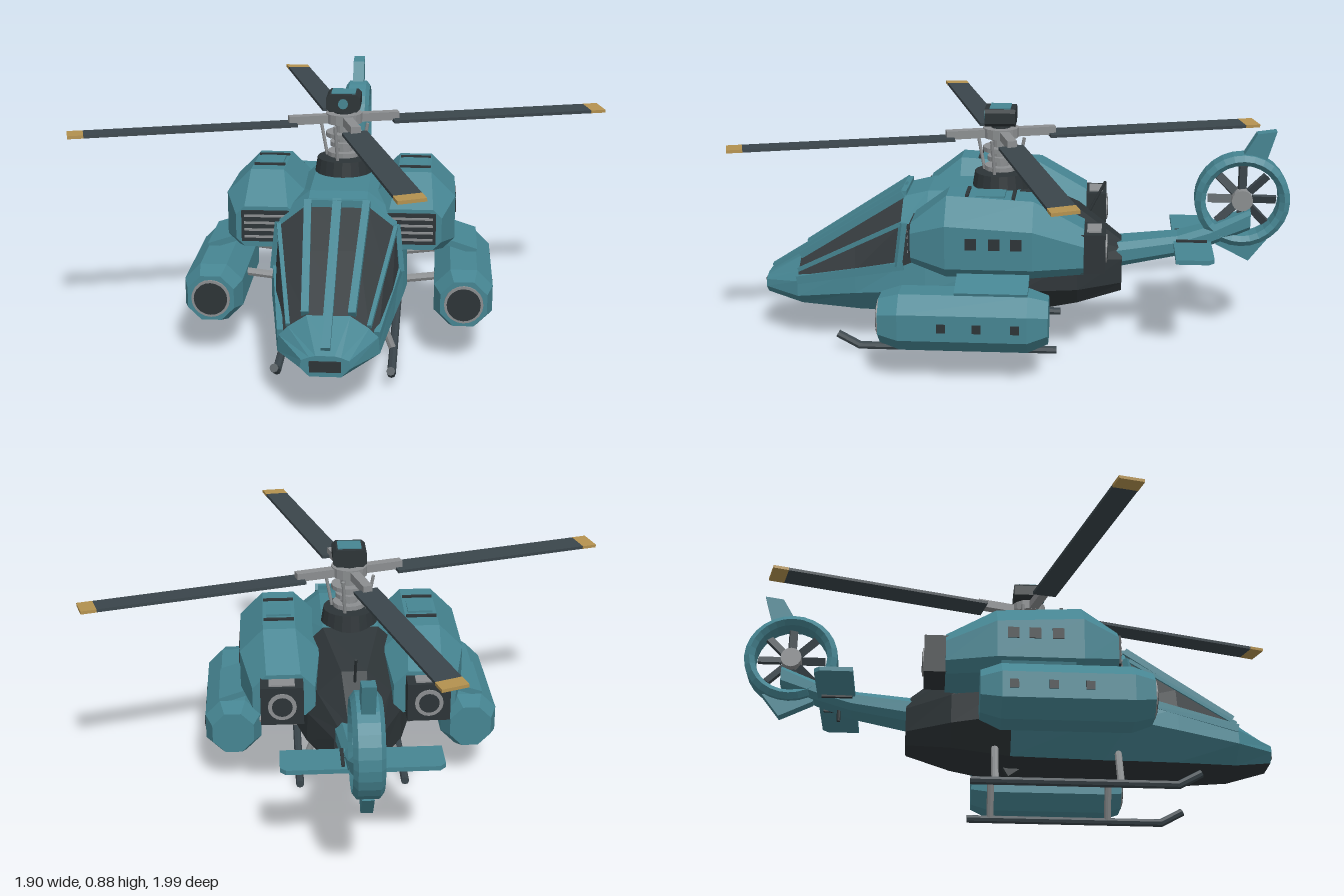
import * as THREE from 'three';

const mat = (name, color) => {
  const m = new THREE.MeshStandardMaterial({ color, flatShading: true });
  m.name = name;
  return m;
};

export function createModel() {
  const teal = mat('teal paint', 0x468592), dark = mat('dark panel', 0x2d3437), glass = mat('canopy glass', 0x353b3e);
  const slate = mat('blade slate', 0x3a454b), grey = mat('metal grey', 0x8b8e90), gold = mat('blade tip gold', 0xb3914f);
  const root = new THREE.Group();
  root.name = 'helicopter';

  const add = (name, geo, m, parent = root) => {
    const mesh = new THREE.Mesh(geo, m);
    mesh.name = name;
    parent.add(mesh);
    return mesh;
  };
  const box = (name, m, w, h, d, x, y, z, parent) => {
    const b = add(name, new THREE.BoxGeometry(w, h, d), m, parent);
    b.position.set(x, y, z);
    return b;
  };
  const cyl = (name, m, r0, r1, h, x, y, z, sides = 16, parent) => {
    const c = add(name, new THREE.CylinderGeometry(r1, r0, h, sides), m, parent);
    c.position.set(x, y, z);
    return c;
  };
  // round rod between two points
  const rod = (name, m, p, q, r, sides = 8) => {
    const a = new THREE.Vector3(...p), b = new THREE.Vector3(...q), d = b.clone().sub(a);
    const c = cyl(name, m, r, r, d.length(), ...a.clone().add(b).multiplyScalar(0.5).toArray(), sides);
    c.quaternion.setFromUnitVectors(new THREE.Vector3(0, 1, 0), d.normalize());
    return c;
  };
  // flat bar between two points
  const bar = (name, m, p, q, w, h) => {
    const a = new THREE.Vector3(...p), b = new THREE.Vector3(...q);
    const c = box(name, m, w, h, a.distanceTo(b), ...a.clone().add(b).multiplyScalar(0.5).toArray());
    c.lookAt(b);
    return c;
  };
  // skin over cross-sections listed front to back; pick(i, j) gives the material slot of a face
  const loft = (name, sections, mats, pick = () => 0) => {
    const faces = mats.map(() => []);
    const put = (slot, ...pts) => pts.forEach(p => faces[slot].push(...p));
    const rings = sections.map(([z, pts]) => pts.map(([x, y]) => [x, y, z]));
    const n = rings[0].length, last = rings.length - 1;
    for (let j = 0; j < n; j++) {
      const k = (j + 1) % n;
      for (let i = 0; i < last; i++) {
        const a = rings[i][j], b = rings[i][k], c = rings[i + 1][j], d = rings[i + 1][k];
        put(pick(i, j), a, c, d, a, d, b);
      }
      const mid = r => [0, 1, 2].map(t => r.reduce((s, p) => s + p[t], 0) / n);
      put(pick(0, 0), mid(rings[0]), rings[0][j], rings[0][k]);
      put(pick(last - 1, 0), mid(rings[last]), rings[last][k], rings[last][j]);
    }
    const geo = new THREE.BufferGeometry();
    geo.setAttribute('position', new THREE.Float32BufferAttribute(faces.flat(), 3));
    let start = 0;
    faces.forEach((f, i) => { geo.addGroup(start, f.length / 3, i); start += f.length / 3; });
    geo.computeVertexNormals();
    return add(name, geo, mats);
  };
  // eight-sided section with lower and upper chamfers
  const oct = (cx, hw, y0, y1, cb, ct = cb) => {
    const r = [[hw - cb, y0], [hw, y0 + cb], [hw, y1 - ct], [hw - ct, y1]];
    return [...r, ...r.slice().reverse().map(([x, y]) => [-x, y])].map(([x, y]) => [x + cx, y]);
  };
  // plate drawn in the (z, y) plane
  const sidePlate = (name, m, pts, t) => {
    const shape = new THREE.Shape(pts.map(([z, y]) => new THREE.Vector2(-z, y)));
    const geo = new THREE.ExtrudeGeometry(shape, { depth: t, bevelEnabled: false });
    geo.translate(0, 0, -t / 2).rotateY(Math.PI / 2);
    return add(name, geo, m);
  };

  // fuselage: belly, widest line, sill, shoulder, roof edge at each station
  const body = [
    [0.915, [[0.05, 0.165], [0.08, 0.195], [0.075, 0.22], [0.05, 0.23], [0.03, 0.235]]],
    [0.78, [[0.09, 0.137], [0.165, 0.19], [0.16, 0.245], [0.13, 0.275], [0.07, 0.315]]],
    [0.56, [[0.12, 0.13], [0.2, 0.22], [0.195, 0.305], [0.17, 0.39], [0.085, 0.455]]],
    [0.39, [[0.13, 0.128], [0.228, 0.24], [0.215, 0.33], [0.2, 0.48], [0.1, 0.56]]],
    [0.3, [[0.13, 0.128], [0.238, 0.245], [0.222, 0.37], [0.205, 0.5], [0.1, 0.582]]],
    [-0.03, [[0.13, 0.135], [0.23, 0.25], [0.22, 0.37], [0.19, 0.5], [0.1, 0.585]]],
    [-0.24, [[0.11, 0.17], [0.17, 0.24], [0.165, 0.35], [0.13, 0.43], [0.045, 0.51]]],
    [-0.4, [[0.05, 0.2], [0.08, 0.24], [0.08, 0.33], [0.06, 0.365], [0.03, 0.385]]],
  ].map(([z, h]) => [z, [...h, ...h.slice().reverse().map(([x, y]) => [-x, y])]]);
  loft('fuselage', body, [teal, dark, glass], (i, j) => {
    const k = j < 5 ? j : 8 - j;
    if (k < 0 || i >= 5) return 1;
    if (k >= 2 && (i === 1 || i === 2)) return 2;
    return i === 3 && k === 2 ? 1 : 0;
  });
  box('noseSensor', dark, 0.1, 0.035, 0.02, 0, 0.2, 0.912);
  bar('canopyCentreFrame', teal, [0, 0.25, 0.9], [0, 0.575, 0.385], 0.03, 0.02);
  bar('canopyRoofFrame', teal, [-0.1, 0.566, 0.39], [0.1, 0.566, 0.39], 0.02, 0.025);
  sidePlate('bellyFin', dark, [[0.02, 0.14], [-0.03, 0.105], [-0.05, 0.14]], 0.03);
  rod('spineAntenna', dark, [0, 0.49, -0.28], [0, 0.6, -0.335], 0.005);

  for (const s of [1, -1]) {
    // canopy frames
    bar('canopySideFrame', teal, [s * 0.075, 0.32, 0.78], [s * 0.1, 0.57, 0.39], 0.025, 0.025);
    bar('canopySill', teal, [s * 0.155, 0.25, 0.78], [s * 0.214, 0.335, 0.38], 0.02, 0.03);
    bar('canopyShoulderFrame', teal, [s * 0.13, 0.28, 0.78], [s * 0.2, 0.485, 0.39], 0.014, 0.014);
    bar('canopyPillar', teal, [s * 0.216, 0.33, 0.4], [s * 0.2, 0.49, 0.38], 0.02, 0.022);

    // engine nacelle
    loft('engineNacelle', [
      [0.335, oct(s * 0.25, 0.105, 0.385, 0.53, 0.03)],
      [0.21, oct(s * 0.258, 0.143, 0.35, 0.628, 0.04, 0.085)],
      [-0.09, oct(s * 0.258, 0.143, 0.35, 0.612, 0.04, 0.085)],
      [-0.265, oct(s * 0.248, 0.11, 0.355, 0.515, 0.035, 0.05)],
    ], [teal]);
    box('intakeGrille', dark, 0.17, 0.11, 0.02, s * 0.25, 0.462, 0.335);
    for (let i = 0; i < 4; i++) box('intakeSlat', grey, 0.15, 0.008, 0.014, s * 0.25, 0.425 + i * 0.025, 0.342);
    for (const z of [0.12, 0.04, -0.035]) box('nacelleWindow', dark, 0.008, 0.04, 0.04, s * 0.401, 0.482, z);
    for (const z of [0.14, -0.02]) box('nacelleVent', dark, 0.11, 0.014, 0.012, s * 0.258, z > 0 ? 0.624 : 0.616, z);
    box('nacelleHatch', teal, 0.09, 0.012, 0.1, s * 0.258, 0.619, 0.06);

    // exhaust
    box('exhaustHousing', dark, 0.15, 0.14, 0.085, s * 0.255, 0.43, -0.297);
    box('exhaustCover', grey, 0.09, 0.006, 0.05, s * 0.255, 0.502, -0.3);
    cyl('exhaustRing', grey, 0.05, 0.05, 0.008, s * 0.255, 0.43, -0.341).rotation.x = Math.PI / 2;
    cyl('exhaustOpening', dark, 0.036, 0.036, 0.006, s * 0.255, 0.43, -0.344).rotation.x = Math.PI / 2;

    // side pod with stub wing
    loft('sidePod', [
      [0.43, oct(s * 0.435, 0.08, 0.145, 0.305, 0.045)],
      [0.36, oct(s * 0.434, 0.101, 0.122, 0.325, 0.055)],
      [-0.08, oct(s * 0.434, 0.101, 0.122, 0.325, 0.055)],
      [-0.15, oct(s * 0.434, 0.075, 0.15, 0.305, 0.045)],
    ], [teal]);
    cyl('podRing', grey, 0.067, 0.067, 0.014, s * 0.435, 0.225, 0.43, 20).rotation.x = Math.PI / 2;
    cyl('podIntake', dark, 0.058, 0.058, 0.016, s * 0.435, 0.225, 0.432, 20).rotation.x = Math.PI / 2;
    for (const z of [0.21, 0.09, -0.04]) box('podWindow', dark, 0.008, 0.03, 0.03, s * 0.535, 0.225, z);
    const wing = box('stubWing', teal, 0.18, 0.022, 0.25, s * 0.395, 0.352, 0.045);
    wing.rotation.z = -s * 0.32;
    for (const z of [0.22, -0.08]) rod('podStrut', grey, [s * 0.18, 0.23, z], [s * 0.345, 0.25, z], 0.015);

    // landing skid
    for (const z of [0.35, -0.085]) rod('skidLeg', grey, [s * 0.14, 0.16, z], [s * 0.192, 0.02, z], 0.013);
    rod('skidRail', slate, [s * 0.195, 0.016, -0.17], [s * 0.195, 0.016, 0.555], 0.015);
    rod('skidToe', slate, [s * 0.195, 0.016, 0.55], [s * 0.195, 0.06, 0.63], 0.015);

    // tailplane half
    const plane = new THREE.Shape([[0.03, 0.585], [0.27, 0.585], [0.27, 0.7], [0.25, 0.72], [0.03, 0.72]]
      .map(([x, y]) => new THREE.Vector2(s * x, y)));
    const geo = new THREE.ExtrudeGeometry(plane, { depth: 0.016, bevelEnabled: false });
    geo.rotateX(-Math.PI / 2).translate(0, 0.38, 0);
    add('tailplane', geo, teal);
    box('tailplaneBracket', dark, 0.012, 0.03, 0.11, s * 0.065, 0.388, -0.65);
  }

  // tail boom and fins
  loft('tailBoom', [
    [-0.36, oct(0, 0.077, 0.288, 0.382, 0.025)],
    [-0.6, oct(0, 0.06, 0.335, 0.41, 0.02)],
    [-0.72, oct(0, 0.052, 0.375, 0.448, 0.02)],
    [-0.86, oct(0, 0.04, 0.435, 0.51, 0.015)],
  ], [teal]);
  rod('boomAntenna', dark, [0, 0.36, -0.645], [0, 0.308, -0.645], 0.007);
  sidePlate('upperFin', teal, [[-0.82, 0.7], [-0.872, 0.79], [-0.94, 0.8], [-0.905, 0.68]], 0.045);
  sidePlate('lowerFin', teal, [[-0.73, 0.41], [-0.74, 0.375], [-0.86, 0.315], [-0.925, 0.4], [-0.86, 0.4]], 0.04);

  // ducted tail fan
  const fan = new THREE.Group();
  fan.name = 'tailFan';
  fan.position.set(0, 0.545, -0.828);
  root.add(fan);
  const duct = [[0.132, -0.035], [0.15, -0.05], [0.17, -0.035], [0.17, 0.035], [0.15, 0.05], [0.132, 0.035], [0.132, -0.035]];
  add('fanDuct', new THREE.LatheGeometry(duct.map(p => new THREE.Vector2(...p)), 28), teal, fan).rotation.z = Math.PI / 2;
  cyl('fanHub', grey, 0.038, 0.038, 0.07, 0, 0, 0, 16, fan).rotation.z = Math.PI / 2;
  for (let i = 0; i < 8; i++) {
    const arm = new THREE.Group();
    arm.name = 'fanBlade';
    arm.rotation.x = i * Math.PI / 4;
    fan.add(arm);
    box('fanBladePlate', slate, 0.012, 0.085, 0.03, 0, 0.08, 0, arm).rotation.y = 0.4;
  }

  // rotor mast
  const mz = 0.045;
  cyl('mastPedestal', dark, 0.105, 0.095, 0.06, 0, 0.605, mz, 20);
  cyl('mast', grey, 0.032, 0.032, 0.2, 0, 0.71, mz);
  [[0.65, 0.06], [0.685, 0.05], [0.72, 0.065]].forEach(([y, r]) => cyl('swashPlate', grey, r, r, 0.016, 0, y, mz));
  for (let i = 0; i < 4; i++) {
    const a = i * Math.PI / 2 + 0.3, c = Math.cos(a), n = Math.sin(a);
    rod('pitchLink', grey, [c * 0.065, 0.635, mz + n * 0.065], [c * 0.09, 0.765, mz + n * 0.09], 0.006);
  }
  cyl('rotorHub', grey, 0.065, 0.065, 0.035, 0, 0.78, mz);
  cyl('sensorNeck', dark, 0.035, 0.035, 0.03, 0, 0.805, mz);
  loft('sensorHead', [[mz + 0.055, oct(0, 0.06, 0.81, 0.872, 0.012)], [mz - 0.055, oct(0, 0.06, 0.81, 0.872, 0.012)]], [dark]);
  box('sensorCap', teal, 0.085, 0.008, 0.075, 0, 0.872, mz);
  cyl('sensorEye', teal, 0.018, 0.018, 0.008, 0, 0.84, mz + 0.056, 12).rotation.x = Math.PI / 2;

  // main rotor blades
  for (let i = 0; i < 4; i++) {
    const blade = new THREE.Group();
    blade.name = 'rotorBlade';
    blade.position.set(0, 0.765, mz);
    blade.rotation.y = 0.274 + i * Math.PI / 2;
    root.add(blade);
    box('bladeSleeve', grey, 0.15, 0.03, 0.034, 0.125, 0.013, 0, blade);
    box('bladeSpan', slate, 0.745, 0.011, 0.088, 0.5475, 0, 0, blade).rotation.x = 0.05;
    box('bladeTip', gold, 0.055, 0.011, 0.09, 0.9475, 0, 0, blade).rotation.x = 0.05;
  }
  return root;
}
